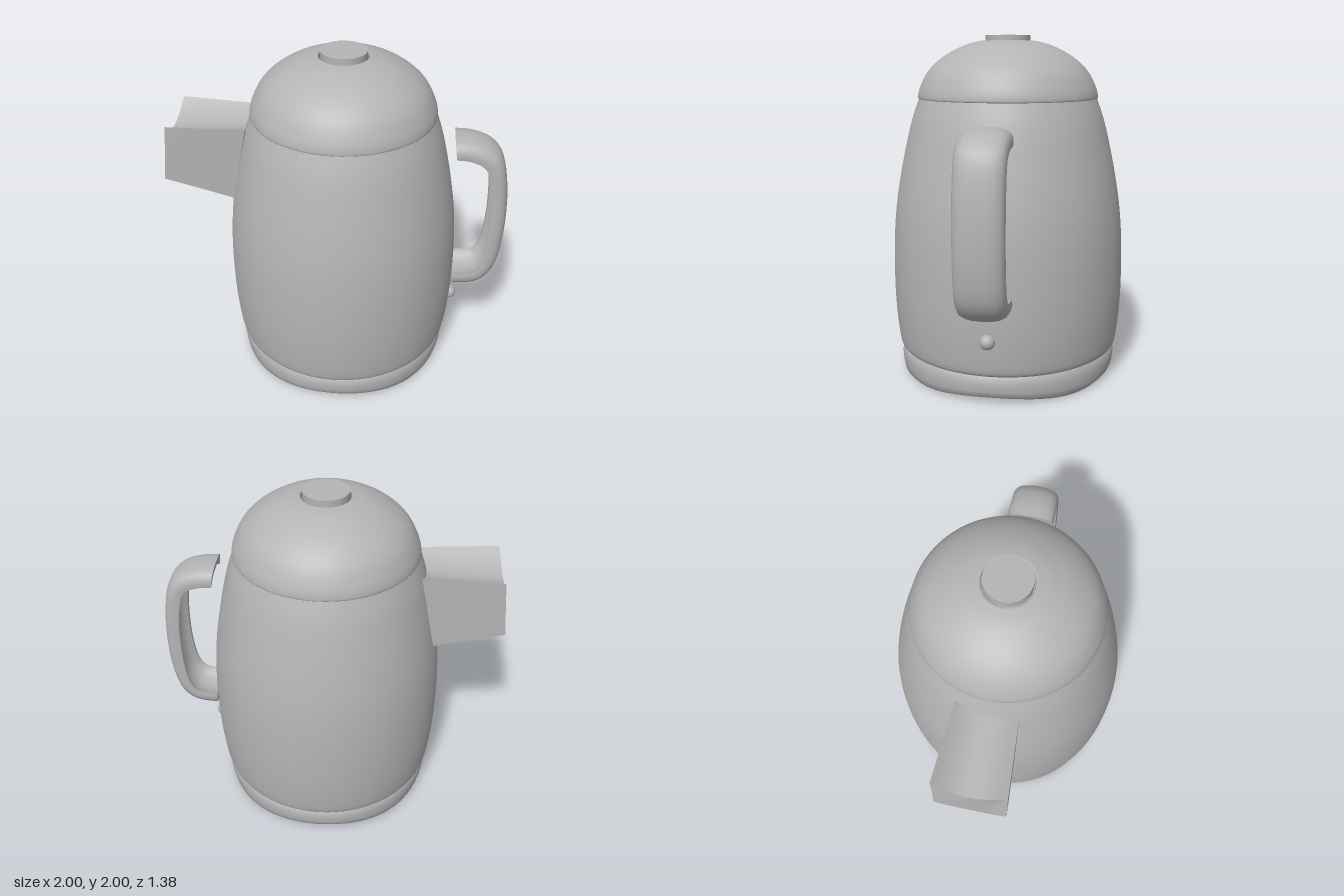
import * as THREE from 'three';
import { toCreasedNormals } from 'three/addons/utils/BufferGeometryUtils.js';

const grey = new THREE.MeshStandardMaterial({ color: 0xb4b4b4, side: THREE.DoubleSide });
grey.name = 'grey';
const AXIS = 0.025; // x of the kettle's own axis

function part(name, geometry, x = 0, y = 0, z = 0) {
  const mesh = new THREE.Mesh(geometry, grey);
  mesh.name = name;
  mesh.position.set(x, y, z);
  return mesh;
}

const curve = (points) => new THREE.SplineCurve(points.map((p) => new THREE.Vector2(...p)));

function turned(points, steps) {
  return new THREE.LatheGeometry(curve(points).getPoints(steps), 80);
}

// Joins closed cross-sections into a skin; outline is the flat section used to cap both ends
function loft(sections, outline) {
  const n = outline.length;
  const index = [];
  for (let i = 0; i < sections.length - 1; i++) {
    for (let j = 0; j < n; j++) {
      const a = i * n + j, b = i * n + ((j + 1) % n);
      index.push(a, b, a + n, b, b + n, a + n);
    }
  }
  const last = (sections.length - 1) * n;
  for (const [a, b, c] of THREE.ShapeUtils.triangulateShape(outline, [])) {
    index.push(a, c, b, last + a, last + b, last + c);
  }
  const geometry = new THREE.BufferGeometry().setFromPoints(sections.flat());
  geometry.setIndex(index);
  return toCreasedNormals(geometry, 0.6);
}

// Base ring with a wavy lower edge that rests on four feet
function baseGeometry() {
  const profile = [[0.58, 0.155], [0.64, 0.155], [0.649, 0.14], [0.652, 0.1], [0.649, 0.06],
    [0.643, 0.03], [0.628, 0.016], [0.612, 0.03], [0.597, 0.08], [0.58, 0.155]];
  const geometry = new THREE.LatheGeometry(profile.map((p) => new THREE.Vector2(...p)), 80);
  const pos = geometry.attributes.position;
  for (let i = 0; i < pos.count; i++) {
    const angle = Math.atan2(pos.getZ(i), pos.getX(i));
    const fade = Math.max(0, 1 - (pos.getY(i) - 0.016) / 0.12);
    pos.setY(i, pos.getY(i) + 0.014 * Math.cos(4 * angle) * fade);
  }
  return toCreasedNormals(geometry, 0.8);
}

// Spout: a tapered block with a trough along its top and a slightly bowed underside
function spoutGeometry() {
  const steps = 12;
  // u runs 0 at the body to 1 at the tip
  const outlineAt = (u) => {
    const half = THREE.MathUtils.lerp(0.172, 0.2, u);
    const top = THREE.MathUtils.lerp(1.57, 1.58, u);
    const bottom = THREE.MathUtils.lerp(1.115, 1.24, u);
    const sag = THREE.MathUtils.lerp(0.06, 0.1, u);
    const outline = [];
    for (let i = 0; i <= steps; i++) {
      const t = 1 - (2 * i) / steps;
      outline.push(new THREE.Vector2(t * half, top - sag * (1 - t * t)));
    }
    for (let i = 0; i <= steps; i++) {
      const t = (2 * i) / steps - 1;
      outline.push(new THREE.Vector2(t * half, bottom - 0.03 * (1 - t * t * t * t)));
    }
    return outline;
  };
  const sections = [0, 0.5, 1].map((u) => outlineAt(u).map((p) => {
    const v = (1.58 - p.y) / 0.36;
    const inner = -0.51 - 0.075 * v;
    const tip = -0.96 - 0.04 * Math.sin(Math.min(v, 1) * Math.PI / 2);
    return new THREE.Vector3(THREE.MathUtils.lerp(inner, tip, u), p.y, p.x);
  }));
  return loft(sections, outlineAt(1));
}

// Handle: a C-shaped strip, rounded outside and hollowed on its inner face
function handleGeometry() {
  const path = curve([[0.66, 1.525], [0.76, 1.52], [0.87, 1.48], [0.945, 1.395], [0.985, 1.22], [1.0, 1.0],
    [0.992, 0.8], [0.962, 0.655], [0.9, 0.567], [0.82, 0.53], [0.72, 0.52]]);
  // half of the section as [z, depth below the outer face]
  const half = [[0, 0], [0.05, 0.002], [0.09, 0.01], [0.118, 0.025], [0.132, 0.047], [0.136, 0.075],
    [0.132, 0.1], [0.118, 0.095], [0.1, 0.068], [0.06, 0.045], [0, 0.038]];
  const outline = half.concat(half.slice(1, -1).reverse().map(([z, d]) => [-z, d]))
    .map((p) => new THREE.Vector2(...p));
  const sections = [];
  const steps = 48;
  for (let i = 0; i <= steps; i++) {
    const p = path.getPointAt(i / steps);
    const t = path.getTangentAt(i / steps);
    // inward normal lies to the right of the direction of travel
    sections.push(outline.map((o) => new THREE.Vector3(p.x + t.y * o.y, p.y - t.x * o.y, o.x)));
  }
  // slant the upper end
  for (let j = 0; j < outline.length; j++) sections[0][j].x += outline[j].y * 0.2;
  return loft(sections, outline);
}

export function createModel() {
  const kettle = new THREE.Group();
  kettle.name = 'kettle';

  // Open-bottomed shell
  kettle.add(part('body', turned([[0.635, 0.155], [0.658, 0.175], [0.672, 0.25], [0.685, 0.4], [0.69, 0.58],
    [0.686, 0.8], [0.67, 1.0], [0.642, 1.18], [0.605, 1.36], [0.565, 1.52], [0.522, 1.642]], 48), AXIS));
  kettle.add(part('base', baseGeometry(), AXIS));

  // Domed lid with a hole for the button
  kettle.add(part('lid', turned([[0.515, 1.638], [0.529, 1.645], [0.517, 1.7], [0.475, 1.785], [0.415, 1.85],
    [0.33, 1.908], [0.235, 1.95], [0.165, 1.967], [0.141, 1.968], [0.139, 1.95]], 48), AXIS));
  kettle.add(part('lidButton', new THREE.CylinderGeometry(0.13, 0.13, 0.05, 48), AXIS, 1.975));

  kettle.add(part('spout', spoutGeometry()));
  kettle.add(part('handle', handleGeometry()));
  kettle.add(part('switchKnob', new THREE.SphereGeometry(0.042, 24, 16), 0.712, 0.375));

  return kettle;
}
